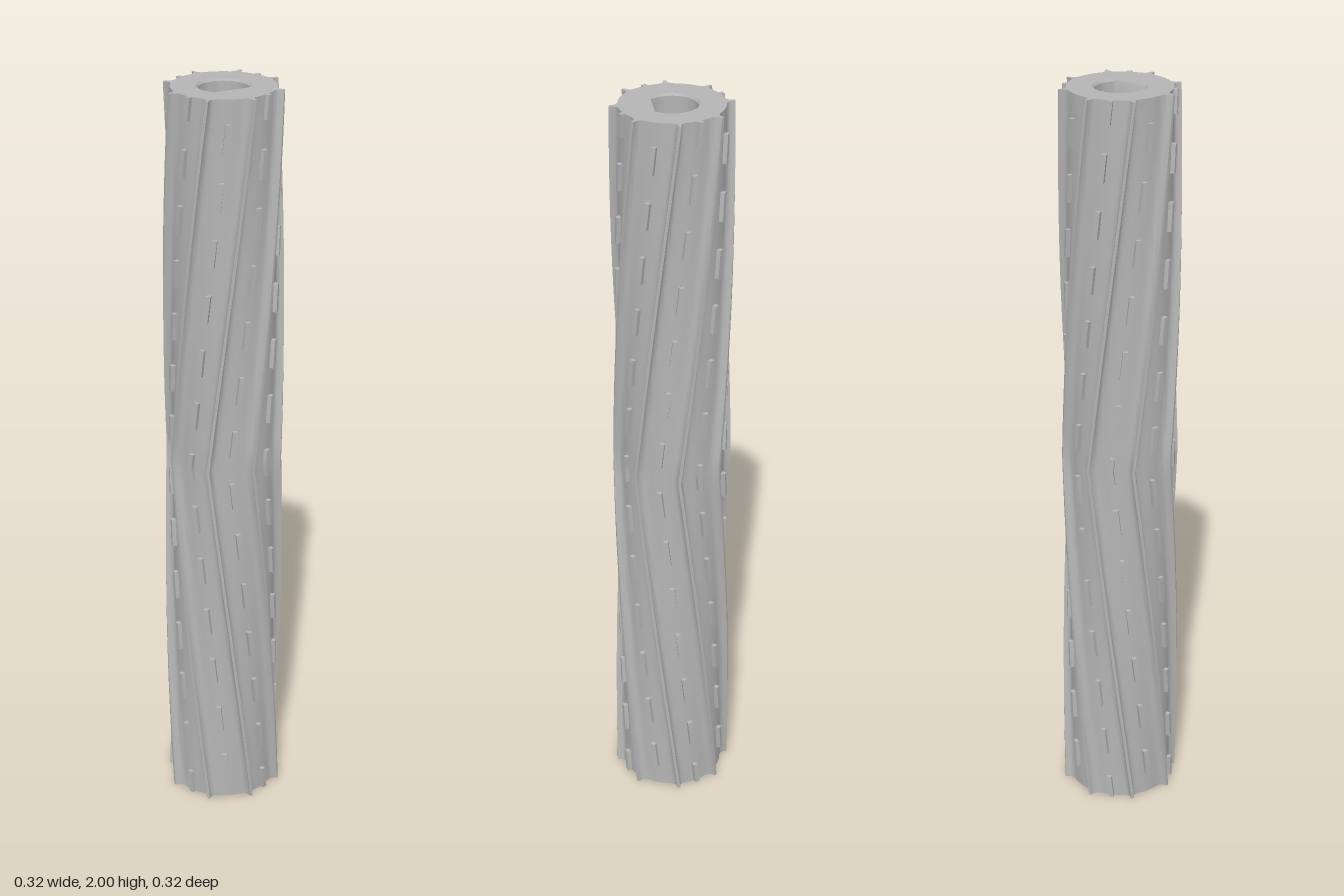
import * as THREE from 'three';
import { mergeGeometries, toCreasedNormals } from 'three/addons/utils/BufferGeometryUtils.js';

const FINS = 8, PITCH = Math.PI * 2 / FINS, HEIGHT = 2, STEPS = 32;
const CORE_R = 0.136;

// chevron twist: one fin pitch of turn from each end to the middle
const twist = (y) => PITCH * (Math.abs(y - 1) - 1);

// Fin half-section: sideways offset and radius, from tip to fillet foot
const FIN = [[0.004, 0.158], [0.0045, 0.149], [0.007, 0.1425], [0.012, 0.138], [0.02, CORE_R]];

function rollerSection() {
  const pts = [];
  for (let f = 0; f < FINS; f++) {
    const add = (angle, r) => {
      const a = f * PITCH + angle;
      pts.push(new THREE.Vector2(Math.sin(a) * r, -Math.cos(a) * r));
    };
    for (const [w, r] of [...FIN].reverse()) add(-w / r, r);
    for (const [w, r] of FIN) add(w / r, r);
    const foot = 0.02 / CORE_R;
    for (let i = 1; i < 5; i++) add(foot + (PITCH - 2 * foot) * i / 5, CORE_R);
  }
  const shape = new THREE.Shape(pts);
  // D-shaped bore with its flat towards the front
  const r = 0.065, flat = Math.asin(0.045 / r), hole = [];
  for (let i = 0; i <= 36; i++) {
    const a = -flat + (Math.PI + 2 * flat) * i / 36;
    hole.push(new THREE.Vector2(Math.cos(a) * r, Math.sin(a) * r));
  }
  shape.holes.push(new THREE.Path(hole));
  return shape;
}

function rollerGeometry() {
  const geo = new THREE.ExtrudeGeometry(rollerSection(), { depth: HEIGHT, steps: STEPS, bevelEnabled: false });
  geo.rotateX(-Math.PI / 2);
  const p = geo.attributes.position, row = HEIGHT / STEPS;
  for (let i = 0; i < p.count; i++) {
    const x = p.getX(i), y = p.getY(i), z = p.getZ(i);
    if (Math.hypot(x, z) > 0.1) {
      // outer skin follows the chevron
      const t = twist(y), c = Math.cos(t), s = Math.sin(t);
      p.setXYZ(i, x * c + z * s, y, z * c - x * s);
    } else {
      // bore stays straight, with a small chamfer at each end
      const k = Math.round(y / row);
      if (k === 0 || k === STEPS) p.setXYZ(i, x * 1.08, y, z * 1.08);
      else if (k === 1) p.setY(i, 0.006);
      else if (k === STEPS - 1) p.setY(i, HEIGHT - 0.006);
    }
  }
  return toCreasedNormals(geo, 0.6);
}

// One raised dash lying along the twisted channel
function nubGeometry(channelAngle, y0, y1) {
  const geo = new THREE.BoxGeometry(0.013, y1 - y0, 0.017, 1, 4, 1);
  geo.translate(0, (y0 + y1) / 2, 0.139);
  const p = geo.attributes.position;
  for (let i = 0; i < p.count; i++) {
    const y = p.getY(i), r = p.getZ(i);
    const a = channelAngle + p.getX(i) / r + twist(y);
    p.setXYZ(i, Math.sin(a) * r, y, Math.cos(a) * r);
  }
  return toCreasedNormals(geo.toNonIndexed(), 0.5);
}

export function createModel() {
  const grey = new THREE.MeshStandardMaterial({ color: 0xb4b4b4 });
  grey.name = 'grey';
  const model = new THREE.Group();
  model.name = 'chevronRoller';

  const body = new THREE.Mesh(rollerGeometry(), grey);
  body.name = 'finnedRollerBody';
  model.add(body);

  // rows of dashes, staggered between neighbouring channels
  const spacing = 0.15, half = 0.0375;
  for (let c = 0; c < FINS; c++) {
    const nubs = [];
    const start = c % 2 === 0 ? 0.025 : 0.1;
    for (let y = start; y < HEIGHT; y += spacing) {
      nubs.push(nubGeometry((c + 0.5) * PITCH, Math.max(0, y - half), Math.min(HEIGHT, y + half)));
    }
    const row = new THREE.Mesh(mergeGeometries(nubs), grey);
    row.name = 'nubRow' + (c + 1);
    model.add(row);
  }
  return model;
}
